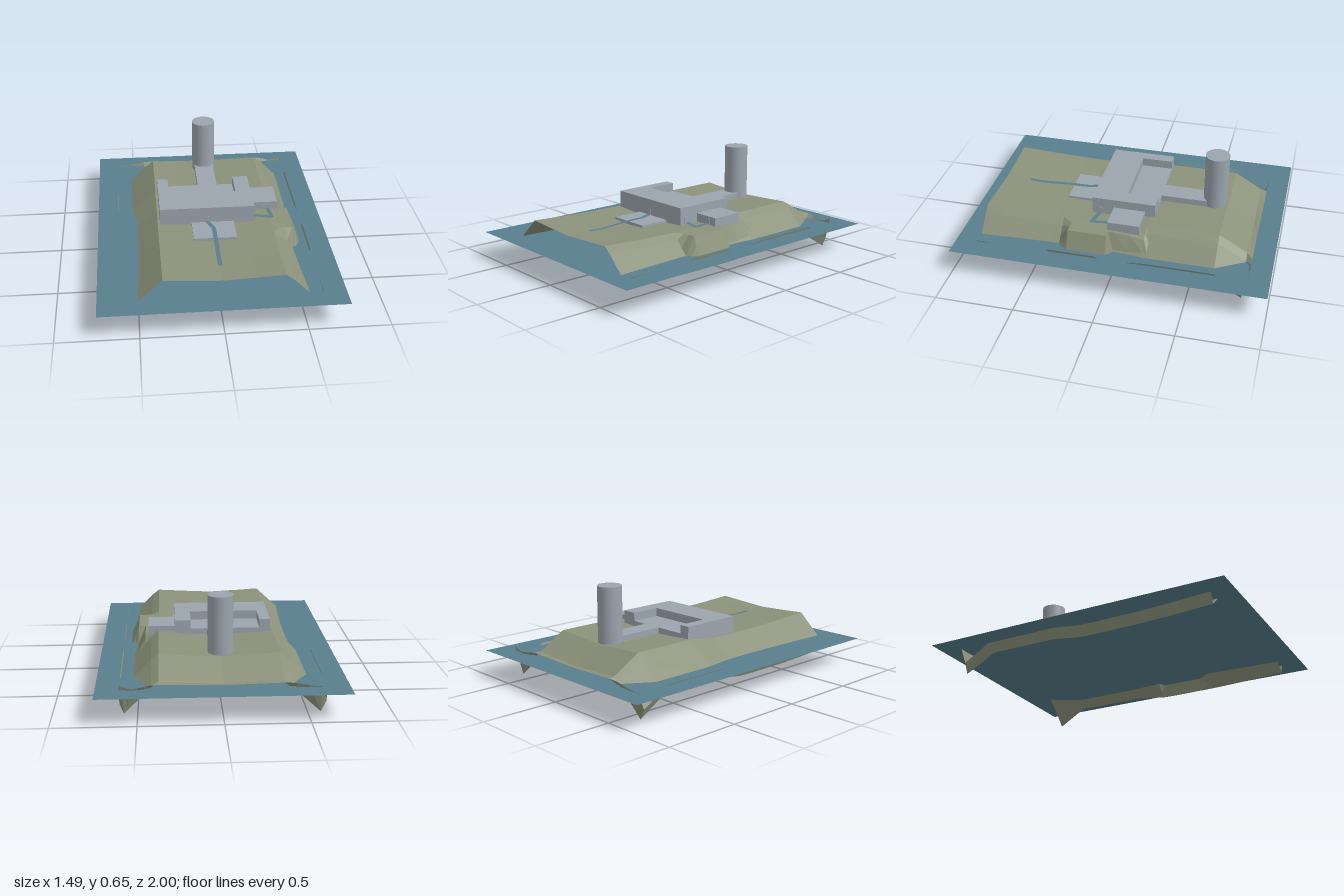
import * as THREE from 'three';

const WATER_Y = 0.168;
const GROUND = 0.25; // walls start below the ground surface

// Piecewise linear interpolation through [position, value] pairs
function lerpTable(table, t) {
  if (t <= table[0][0]) return table[0][1];
  for (let i = 1; i < table.length; i++) {
    const [a, va] = table[i - 1], [b, vb] = table[i];
    if (t <= b) return va + (vb - va) * (t - a) / (b - a);
  }
  return table[table.length - 1][1];
}

// Ridge height along z, and drop from the ridge across x
const ridge = [[-0.83, 0.205], [-0.65, 0.312], [-0.2, 0.312], [0, 0.285], [0.1, 0.283], [0.4, 0.285], [0.6, 0.292], [0.865, 0.305]];
const section = [[-0.61, -0.14], [-0.58, -0.205], [-0.355, 0], [-0.2, -0.01], [0, -0.02], [0.2, -0.01], [0.375, 0], [0.42, -0.035], [0.58, -0.195], [0.605, -0.13]];
const backRim = [[-0.61, 0.17], [-0.54, 0.172], [-0.4, 0.2], [0, 0.19], [0.4, 0.2], [0.54, 0.172], [0.605, 0.2]];

function groundHeight(x, z) {
  if (z < -0.84) return lerpTable(backRim, x);
  let y = lerpTable(ridge, z) + lerpTable(section, x);
  // Level terrace on the left flank, with a steep outer bank
  if (x > 0.3 && x < 0.575) {
    const edge = lerpTable([[-0.22, 0.36], [-0.19, 0.45], [0, 0.46], [0.04, 0.505], [0.29, 0.505], [0.35, 0.4]], z);
    if (z > -0.22 && z < 0.35) y = Math.max(y, Math.min(0.28, 0.28 - (x - edge) * 2.3));
  }
  if (x > 0.59 && z > 0.08 && z < 0.42) y += 0.03;
  return y;
}

function terrainGeometry() {
  const xs = [-0.61, -0.58, -0.5, -0.42, -0.355, -0.2, 0, 0.2, 0.3, 0.375, 0.42, 0.46, 0.505, 0.53, 0.555, 0.58, 0.605];
  const zs = [-0.867, -0.83, -0.74, -0.65, -0.4, -0.22, -0.19, -0.1, 0, 0.04, 0.1, 0.2, 0.29, 0.35, 0.4, 0.42, 0.6, 0.75, 0.865];
  const pos = [], index = [], n = xs.length;
  for (const z of zs) for (const x of xs) pos.push(x, groundHeight(x, z), z);
  for (let j = 0; j < zs.length - 1; j++) {
    for (let i = 0; i < n - 1; i++) {
      const a = j * n + i, b = a + n;
      index.push(a, b, a + 1, a + 1, b, b + 1);
    }
  }
  const g = new THREE.BufferGeometry();
  g.setAttribute('position', new THREE.Float32BufferAttribute(pos, 3));
  g.setIndex(index);
  const flat = g.toNonIndexed();
  flat.computeVertexNormals();
  return flat;
}

// Flat ribbon through [x, z, y] points
function ribbonGeometry(points, width) {
  const pos = [], index = [];
  points.forEach((p, i) => {
    const a = points[Math.max(0, i - 1)], b = points[Math.min(points.length - 1, i + 1)];
    const dx = b[0] - a[0], dz = b[1] - a[1], k = width / 2 / Math.hypot(dx, dz);
    pos.push(p[0] + dz * k, p[2], p[1] - dx * k, p[0] - dz * k, p[2], p[1] + dx * k);
    if (i) index.push(2 * i - 2, 2 * i - 1, 2 * i, 2 * i, 2 * i - 1, 2 * i + 1);
  });
  const g = new THREE.BufferGeometry();
  g.setAttribute('position', new THREE.Float32BufferAttribute(pos, 3));
  g.setIndex(index);
  g.computeVertexNormals();
  return g;
}

export function createModel() {
  const model = new THREE.Group();
  const material = (name, color) => Object.assign(new THREE.MeshStandardMaterial({ color }), { name });
  const stone = material('grey concrete', 0x9ba4ad);
  const land = material('olive ground', 0x8b917a);
  const blue = material('water blue', 0x587e8c);
  land.side = blue.side = THREE.DoubleSide;

  const add = (name, geometry, mat, parent = model) => {
    const mesh = new THREE.Mesh(geometry, mat);
    mesh.name = name;
    parent.add(mesh);
    return mesh;
  };
  const box = (name, x0, x1, y0, y1, z0, z1, parent) => {
    const m = add(name, new THREE.BoxGeometry(x1 - x0, y1 - y0, z1 - z0), stone, parent);
    m.position.set((x0 + x1) / 2, (y0 + y1) / 2, (z0 + z1) / 2);
    return m;
  };

  // Sea and island
  const sea = add('sea', new THREE.PlaneGeometry(1.49, 2), blue);
  sea.rotation.x = -Math.PI / 2;
  sea.position.y = WATER_Y;
  add('island', terrainGeometry(), land);

  // Main building: U-shaped block around a lower roof
  const building = new THREE.Group();
  building.name = 'building';
  model.add(building);
  const outline = [[-0.34, 0.19], [0.27, 0.19], [0.27, -0.22], [0.17, -0.22], [0.17, -0.02], [-0.27, -0.02], [-0.27, -0.22], [-0.34, -0.22]];
  const shape = new THREE.Shape(outline.map(([x, z]) => new THREE.Vector2(x, -z)));
  const block = new THREE.ExtrudeGeometry(shape, { depth: 0.39 - GROUND, bevelEnabled: false });
  block.rotateX(-Math.PI / 2).translate(0, GROUND, 0);
  add('mainBlock', block, stone, building);
  box('lowerRoof', -0.27, 0.17, GROUND, 0.335, -0.22, -0.02, building);
  box('corridor', -0.065, 0.065, GROUND, 0.335, -0.52, -0.22, building);
  box('annex', 0.27, 0.44, GROUND, 0.335, -0.155, 0.05, building);
  box('forecourt', -0.137, 0.137, GROUND, 0.286, 0.19, 0.39, building);

  // Round tower
  const tower = add('tower', new THREE.CylinderGeometry(0.077, 0.077, 0.4, 40), stone, building);
  tower.position.set(0, 0.453, -0.565);

  // Doors with rounded tops
  const doorShape = new THREE.Shape();
  doorShape.moveTo(-0.016, 0).lineTo(0.016, 0).lineTo(0.016, 0.03);
  doorShape.quadraticCurveTo(0.016, 0.045, 0, 0.045);
  doorShape.quadraticCurveTo(-0.016, 0.045, -0.016, 0.03);
  const doorGeometry = new THREE.ExtrudeGeometry(doorShape, { depth: 0.004, bevelEnabled: false });
  for (const [name, x, z, turn] of [['frontDoor', -0.035, 0.19, 0], ['annexDoor', 0.372, 0.05, 0], ['sideDoor', 0.27, 0.14, Math.PI / 2]]) {
    const door = add(name, doorGeometry, stone, building);
    door.position.set(x, 0.282, z);
    door.rotation.y = turn;
  }

  // Blue paths laid over the forecourt and ground
  add('frontPath', ribbonGeometry([[-0.035, 0.19, 0.29], [0, 0.28, 0.29], [0, 0.4, 0.289],
    [0, 0.6, groundHeight(0, 0.6) + 0.006], [0, 0.7, groundHeight(0, 0.7) + 0.006]], 0.027), blue);
  add('sidePathEast', ribbonGeometry([[0.27, 0.137, 0.289], [0.395, 0.167, 0.289]], 0.027), blue);
  add('sidePathNorth', ribbonGeometry([[0.39, 0.175, 0.29], [0.375, 0.05, 0.29]], 0.027), blue);

  return model;
}
